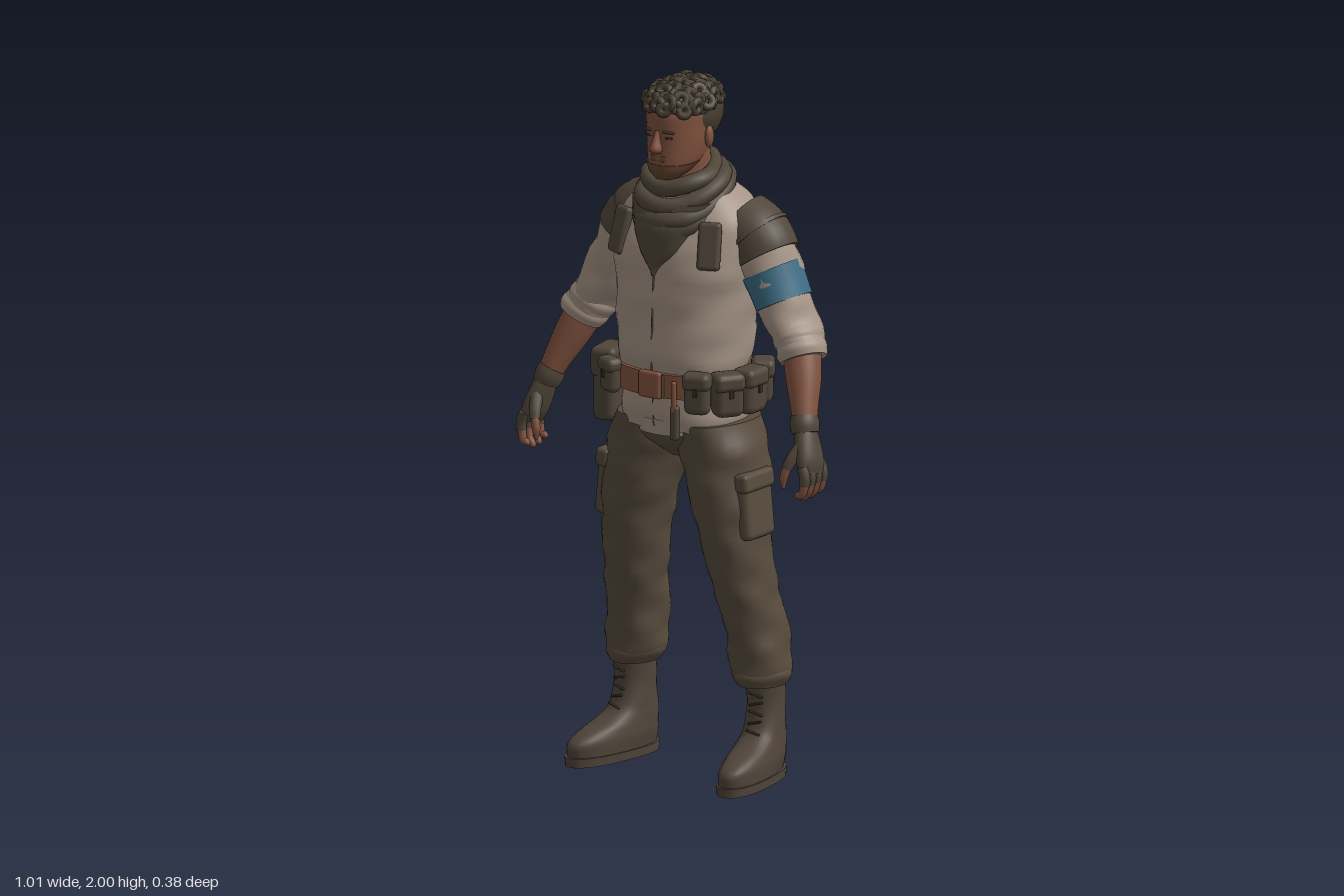
import * as THREE from 'three';
import { mergeGeometries } from 'three/addons/utils/BufferGeometryUtils.js';
import { RoundedBoxGeometry } from 'three/addons/geometries/RoundedBoxGeometry.js';

const paint = (name, color) => {
  const m = new THREE.MeshStandardMaterial({ color });
  m.name = name;
  return m;
};

// Surface through rings [x, y, z, halfWidth, halfDepth]. Rings are level when
// opt.flat is set, otherwise square to the path. opt.p squares off the section,
// opt.fold adds soft cloth folds.
function loft(keys, { flat = false, p = 2, fold = 0, seg = 28, sub = 4 } = {}) {
  const rows = [], n = keys.length;
  const cr = (a, b, c, d, t) => 0.5 * (2 * b + (c - a) * t + (2 * a - 5 * b + 4 * c - d) * t * t + (3 * b - a - 3 * c + d) * t * t * t);
  for (let i = 0; i < n - 1; i++) {
    const [a, b, c, d] = [i - 1, i, i + 1, i + 2].map(k => keys[Math.min(n - 1, Math.max(0, k))]);
    for (let j = 0; j < sub; j++) rows.push(b.map((v, k) => cr(a[k], v, c[k], d[k], j / sub)));
  }
  rows.push(keys[n - 1]);
  const pos = [], idx = [], last = rows.length - 1;
  const centre = i => new THREE.Vector3(rows[i][0], rows[i][1], rows[i][2]);
  const ringPoints = rows.map((r, i) => {
    const up = Math.sign(keys[n - 1][1] - keys[0][1]);
    const t = flat ? new THREE.Vector3(0, up, 0)
      : centre(Math.min(last, i + 1)).sub(centre(Math.max(0, i - 1))).normalize();
    const u = new THREE.Vector3(1, 0, 0).addScaledVector(t, -t.x).normalize();
    const v = new THREE.Vector3().crossVectors(u, t);
    const pts = [];
    for (let k = 0; k < seg; k++) {
      const a = k / seg * Math.PI * 2, c = Math.cos(a), s = Math.sin(a);
      const f = fold * (Math.sin(3 * a + 43 * r[1]) + Math.sin(2 * a - 61 * r[1] + 1) * Math.cos(a + 17 * r[1]));
      pts.push(centre(i)
        .addScaledVector(u, Math.sign(c) * Math.abs(c) ** (2 / p) * (r[3] + f))
        .addScaledVector(v, Math.sign(s) * Math.abs(s) ** (2 / p) * (r[4] + f)));
    }
    return pts;
  });
  ringPoints.forEach(pts => pts.forEach(q => pos.push(q.x, q.y, q.z)));
  for (let i = 0; i < last; i++) for (let k = 0; k < seg; k++) {
    const a = i * seg + k, b = i * seg + (k + 1) % seg;
    idx.push(a, a + seg, b, b, a + seg, b + seg);
  }
  for (const i of [0, last]) { // end caps
    const base = pos.length / 3;
    ringPoints[i].forEach(q => pos.push(q.x, q.y, q.z));
    pos.push(...centre(i).toArray());
    for (let k = 0; k < seg; k++) {
      const a = base + k, b = base + (k + 1) % seg;
      idx.push(base + seg, ...(i ? [b, a] : [a, b]));
    }
  }
  const g = new THREE.BufferGeometry();
  g.setAttribute('position', new THREE.Float32BufferAttribute(pos, 3));
  g.setIndex(idx);
  g.computeVertexNormals();
  return g;
}

export function createModel() {
  const skin = paint('skin', 0x7f513e), stubble = paint('stubble', 0x62432f), hair = paint('hair', 0x463c30);
  const shirt = paint('shirt cloth', 0xa49385), trousers = paint('trouser cloth', 0x574b3d);
  const gear = paint('gear canvas', 0x50463a), leather = paint('belt leather', 0x84543f);
  const blue = paint('armband blue', 0x3c6c83), boot = paint('boot leather', 0x50453a), dark = paint('dark trim', 0x352c24);

  const model = new THREE.Group();
  model.name = 'standingMan';
  const add = (name, geo, mat, parent = model) => {
    const m = new THREE.Mesh(geo, mat);
    m.name = name;
    parent.add(m);
    return m;
  };
  const box = (name, mat, [w, h, d], [x, y, z], [rx, ry, rz] = [0, 0, 0], r = 0.012, parent = model) => {
    const m = add(name, new RoundedBoxGeometry(w, h, d, 2, Math.min(r, w * 0.45, d * 0.45, h * 0.45)), mat, parent);
    m.position.set(x, y, z);
    m.rotation.set(rx, ry, rz, 'YXZ');
    return m;
  };

  // Torso
  add('shirt', loft([[0, 1.01, -0.01, 0.172, 0.158], [0, 1.06, -0.008, 0.18, 0.163], [0, 1.15, 0, 0.174, 0.152],
    [0, 1.22, 0.002, 0.188, 0.163], [0, 1.32, -0.008, 0.197, 0.167], [0, 1.42, -0.015, 0.207, 0.17],
    [0, 1.5, -0.022, 0.215, 0.168], [0, 1.58, -0.037, 0.215, 0.148], [0, 1.65, -0.037, 0.17, 0.122],
    [0, 1.7, -0.015, 0.1, 0.095]], { flat: true, p: 2.4, fold: 0.0022, seg: 40 }), shirt);
  add('shirtHem', loft([[0, 0.995, 0.02, 0.1, 0.126], [0, 1.04, 0.02, 0.11, 0.134]], { flat: true, p: 2.5 }), shirt);
  const seam = [[1.02, 0.15], [1.09, 0.154], [1.2, 0.162], [1.32, 0.158], [1.42, 0.154], [1.5, 0.145]];
  add('shirtSeam', new THREE.TubeGeometry(new THREE.CatmullRomCurve3(seam.map(([y, z]) => new THREE.Vector3(0, y, z))), 24, 0.003, 6), gear);
  add('hips', loft([[0, 0.915, -0.02, 0.03, 0.075], [0, 0.94, -0.018, 0.07, 0.105], [0, 0.98, -0.013, 0.15, 0.136], [0, 1.05, -0.012, 0.17, 0.145]],
    { flat: true, p: 2.2 }), trousers);

  // Belt and what hangs on it
  add('belt', loft([[0, 1.11, 0, 0.186, 0.167], [0, 1.145, 0, 0.186, 0.167], [0, 1.178, 0, 0.186, 0.167]],
    { flat: true, p: 2.4, seg: 40 }), leather);
  box('buckle', leather, [0.075, 0.078, 0.02], [0, 1.144, 0.166]);
  box('buckleBar', gear, [0.008, 0.066, 0.008], [0.044, 1.144, 0.17]);
  box('beltClip', gear, [0.028, 0.1, 0.022], [0.082, 1.045, 0.163]);
  box('beltClipStrap', leather, [0.016, 0.09, 0.014], [0.082, 1.12, 0.168]);
  const pouches = [
    [0.145, 1.135, 0.143, 0.075, 0.12, 0.05, 0.35], [0.205, 1.13, 0.085, 0.085, 0.125, 0.065, 1.0],
    [0.215, 1.125, -0.01, 0.09, 0.13, 0.065, 1.57], [0.19, 1.13, -0.1, 0.085, 0.125, 0.06, 2.2],
    [-0.16, 1.14, 0.135, 0.07, 0.1, 0.045, -0.45], [-0.225, 1.09, 0.045, 0.11, 0.21, 0.07, -1.4],
    [-0.215, 1.11, -0.05, 0.09, 0.16, 0.065, -1.7], [-0.18, 1.13, -0.11, 0.08, 0.12, 0.055, -2.3]];
  for (const [x, y, z, w, h, d, yaw] of pouches) {
    const g = new THREE.Group();
    g.name = 'pouch';
    g.position.set(x, y, z);
    g.rotation.y = yaw;
    model.add(g);
    box('pouchBody', gear, [w, h, d], [0, 0, 0], undefined, 0.022, g);
    box('pouchFlap', gear, [w + 0.006, h * 0.42, d + 0.008], [0, h * 0.3, 0.002], undefined, 0.018, g);
    box('pouchTab', dark, [0.012, 0.024, 0.006], [0, h * 0.06, d / 2 + 0.002], undefined, 0.002, g);
  }

  // Scarf: wrapped rolls and a hanging point
  [[1.725, 0.088, 0.025, 0.025], [1.695, 0.107, 0.026, 0.045], [1.662, 0.114, 0.028, 0.055], [1.635, 0.108, 0.026, 0.062]]
    .forEach(([y, r, tube, tilt], i) => {
      const pts = [];
      for (let k = 0; k < 14; k++) {
        const a = k / 14 * Math.PI * 2, w = 0.005 * Math.sin(3 * a + i * 2);
        pts.push(new THREE.Vector3((r + w) * Math.cos(a), y - tilt * Math.sin(a) + w, 0.014 + (r + w) * 1.1 * Math.sin(a)));
      }
      add('scarfRoll', new THREE.TubeGeometry(new THREE.CatmullRomCurve3(pts, true), 56, tube, 10, true), gear);
    });
  add('scarfPoint', loft([[0, 1.66, 0.05, 0.125, 0.095], [0, 1.6, 0.08, 0.108, 0.087], [0, 1.53, 0.112, 0.066, 0.055],
    [0, 1.455, 0.14, 0.008, 0.018]], { flat: true, fold: 0.003 }), gear);

  // Head
  add('neck', loft([[0, 1.64, -0.01, 0.075, 0.075], [0, 1.82, 0, 0.064, 0.066]]), skin);
  add('head', loft([[0, 1.727, 0.086, 0.03, 0.034], [0, 1.745, 0.072, 0.052, 0.062], [0, 1.775, 0.047, 0.069, 0.088],
    [0, 1.82, 0.03, 0.078, 0.104], [0, 1.87, 0.026, 0.08, 0.11], [0, 1.92, 0.02, 0.08, 0.115], [0, 1.965, 0.015, 0.06, 0.085]],
    { flat: true, p: 2.2, seg: 36 }), skin);
  add('beard', loft([[0, 1.724, 0.086, 0.032, 0.037], [0, 1.745, 0.072, 0.055, 0.065], [0, 1.768, 0.052, 0.069, 0.086]],
    { flat: true, p: 2.2, seg: 36 }), stubble);
  add('nose', loft([[0, 1.868, 0.124, 0.009, 0.014], [0, 1.84, 0.136, 0.011, 0.017], [0, 1.815, 0.142, 0.018, 0.021],
    [0, 1.803, 0.136, 0.012, 0.012]], { flat: true, seg: 16 }), skin);
  box('mouth', stubble, [0.044, 0.007, 0.008], [0, 1.781, 0.131]);
  box('moustache', stubble, [0.046, 0.006, 0.007], [0, 1.793, 0.131]);
  for (const s of [1, -1]) {
    box('eye', dark, [0.022, 0.006, 0.007], [s * 0.034, 1.848, 0.126], [0, s * 0.3, 0]);
    box('eyebrow', hair, [0.034, 0.007, 0.009], [s * 0.035, 1.865, 0.13], [0, s * 0.3, -s * 0.06]);
    const ear = add('ear', new THREE.SphereGeometry(1, 14, 10), skin);
    ear.scale.set(0.012, 0.032, 0.02);
    ear.position.set(s * 0.084, 1.835, 0.005);
    ear.rotation.y = s * 0.3;
  }

  // Hair: close cap and curls spiralled over the crown
  const cap = add('hairCap', new THREE.SphereGeometry(1, 28, 18), hair);
  cap.scale.set(0.09, 0.092, 0.108);
  cap.position.set(0, 1.893, -0.016);
  const crown = add('hairCrown', new THREE.SphereGeometry(1, 28, 18), hair);
  crown.scale.set(0.089, 0.06, 0.125);
  crown.position.set(0, 1.925, 0.012);
  const curls = [], helper = new THREE.Object3D();
  for (let i = 0; i < 72; i++) {
    const h = 1 - i / 72 * 0.98, a = i * 2.39996, r = Math.sqrt(1 - h * h);
    const nrm = new THREE.Vector3(r * Math.cos(a), h, r * Math.sin(a));
    helper.position.set(0.089 * nrm.x, 1.925 + 0.06 * nrm.y, 0.012 + 0.127 * nrm.z);
    helper.lookAt(helper.position.clone().add(nrm));
    helper.rotateX(0.4 * Math.sin(i * 5.1));
    helper.rotateY(0.4 * Math.cos(i * 3.7));
    helper.updateMatrix();
    curls.push(new THREE.TorusGeometry(0.013 + 0.004 * Math.sin(i * 7), 0.0115, 8, 12).applyMatrix4(helper.matrix));
  }
  add('hairCurls', mergeGeometries(curls), hair);

  for (const s of [1, -1]) {
    const side = (keys, opt) => loft(keys.map(([x, ...rest]) => [s * x, ...rest]), opt);

    // Arm
    add('sleeve', side([[0.15, 1.58, -0.06, 0.08, 0.085], [0.225, 1.52, -0.06, 0.085, 0.09], [0.273, 1.43, -0.058, 0.076, 0.087],
      [0.317, 1.345, -0.055, 0.07, 0.085], [0.358, 1.28, -0.047, 0.066, 0.08], [0.38, 1.245, -0.038, 0.064, 0.076]], { fold: 0.003 }), shirt);
    for (const [x, y, z, r] of [[0.352, 1.29, -0.046, 0.07], [0.374, 1.255, -0.039, 0.069]])
      add('rolledCuff', side([[x - 0.01, y + 0.02, z - 0.004, r - 0.005, r + 0.005], [x, y, z, r, r + 0.011],
        [x + 0.01, y - 0.02, z + 0.005, r - 0.006, r + 0.004]], { fold: 0.0015 }), shirt);
    if (s > 0) add('armband', side([[0.253, 1.468, -0.058, 0.084, 0.092], [0.275, 1.425, -0.058, 0.08, 0.09],
      [0.298, 1.38, -0.056, 0.077, 0.09]]), blue);
    add('shoulderPad', side([[0.145, 1.588, -0.064, 0.088, 0.09], [0.185, 1.562, -0.066, 0.095, 0.1], [0.216, 1.532, -0.065, 0.095, 0.102],
      [0.238, 1.5, -0.063, 0.092, 0.098]], { fold: 0.002 }), gear);
    add('shoulderPadSeam', side([[0.193, 1.556, -0.066, 0.099, 0.103], [0.201, 1.548, -0.066, 0.099, 0.103]]), gear);
    box('chestFlap', gear, [0.066, 0.135, 0.028], [s * 0.153, 1.55, 0.098], [-0.24, s * 0.4, 0]);
    add('forearm', side([[0.365, 1.27, -0.045, 0.054, 0.056], [0.398, 1.19, -0.01, 0.05, 0.052], [0.427, 1.115, 0.025, 0.038, 0.041],
      [0.445, 1.06, 0.045, 0.031, 0.036]]), skin);
    add('gloveCuff', side([[0.434, 1.09, 0.034, 0.038, 0.043], [0.441, 1.07, 0.042, 0.04, 0.045], [0.447, 1.05, 0.047, 0.036, 0.041]]), gear);
    add('glovePalm', side([[0.445, 1.06, 0.045, 0.03, 0.035], [0.459, 1.02, 0.053, 0.031, 0.046], [0.474, 0.975, 0.061, 0.03, 0.052],
      [0.482, 0.942, 0.065, 0.02, 0.047]]), gear);
    for (let f = 0; f < 4; f++) { // fingers, bare past the glove
      const z = 0.022 + f * 0.028, tip = 0.862 + 0.012 * Math.abs(f - 1.6);
      add('gloveFinger', side([[0.479, 0.97, z, 0.015, 0.015], [0.489, 0.94, z + 0.001, 0.0155, 0.0145], [0.488, 0.918, z + 0.002, 0.0145, 0.0135]],
        { seg: 12 }), gear);
      add('finger', side([[0.489, 0.925, z, 0.0125, 0.012], [0.481, 0.893, z + 0.003, 0.012, 0.0115], [0.467, tip + 0.008, z + 0.004, 0.01, 0.01],
        [0.462, tip, z + 0.004, 0.004, 0.004]], { seg: 12 }), skin);
    }
    add('gloveThumb', side([[0.455, 1.02, 0.08, 0.018, 0.02], [0.442, 0.985, 0.107, 0.017, 0.017], [0.434, 0.96, 0.118, 0.0145, 0.0145]], { seg: 12 }), gear);
    add('thumb', side([[0.436, 0.968, 0.116, 0.0125, 0.0125], [0.427, 0.935, 0.122, 0.012, 0.012], [0.426, 0.905, 0.122, 0.005, 0.005]], { seg: 12 }), skin);

    // Leg
    add('trouserLeg', side([[0.108, 1.03, -0.012, 0.092, 0.135], [0.119, 0.96, -0.014, 0.112, 0.137], [0.134, 0.88, -0.012, 0.108, 0.132],
      [0.154, 0.79, 0, 0.096, 0.121], [0.17, 0.69, -0.005, 0.087, 0.112], [0.184, 0.58, -0.018, 0.081, 0.102], [0.197, 0.49, -0.04, 0.078, 0.099],
      [0.208, 0.4, -0.06, 0.079, 0.098], [0.213, 0.33, -0.06, 0.081, 0.092], [0.217, 0.29, -0.058, 0.073, 0.081], [0.22, 0.27, -0.058, 0.058, 0.066]],
      { flat: true, p: 2.2, fold: 0.0028 }), trousers);
    add('trouserCuff', side([[0.214, 0.325, -0.058, 0.076, 0.084], [0.217, 0.3, -0.058, 0.081, 0.088], [0.219, 0.272, -0.058, 0.068, 0.076]],
      { flat: true, fold: 0.003 }), trousers);
    const tilt = [0, 0, s * 0.1];
    box('cargoPocket', trousers, [0.042, 0.165, 0.13], [s * 0.243, 0.79, 0.005], tilt, 0.018);
    box('cargoPocketFlap', trousers, [0.046, 0.055, 0.14], [s * 0.24, 0.872, 0.005], tilt, 0.014);

    // Boot
    const foot = new THREE.Group();
    foot.name = 'boot';
    foot.position.set(s * 0.225, 0, -0.07);
    foot.rotation.y = s * 0.17;
    model.add(foot);
    add('bootUpper', loft([[0, 0.02, 0.09, 0.055, 0.16], [0, 0.06, 0.088, 0.059, 0.162], [0, 0.088, 0.065, 0.058, 0.138],
      [0, 0.115, 0.028, 0.056, 0.1], [0, 0.15, 0.006, 0.051, 0.075], [0, 0.22, 0.002, 0.049, 0.063], [0, 0.31, 0.006, 0.055, 0.065]],
      { flat: true, p: 2.3, fold: 0.0012 }), boot, foot);
    add('bootSole', loft([[0, 0, 0.091, 0.059, 0.166], [0, 0.026, 0.091, 0.061, 0.168]], { flat: true, p: 2.4 }), boot, foot);
    for (let i = 0; i < 5; i++)
      box('lace', dark, [0.044, 0.006, 0.008], [0, 0.145 + i * 0.026, [0.083, 0.073, 0.067, 0.065, 0.066][i]],
        [0, 0, (i % 2 ? 1 : -1) * 0.25], 0.003, foot);
  }
  return model;
}
